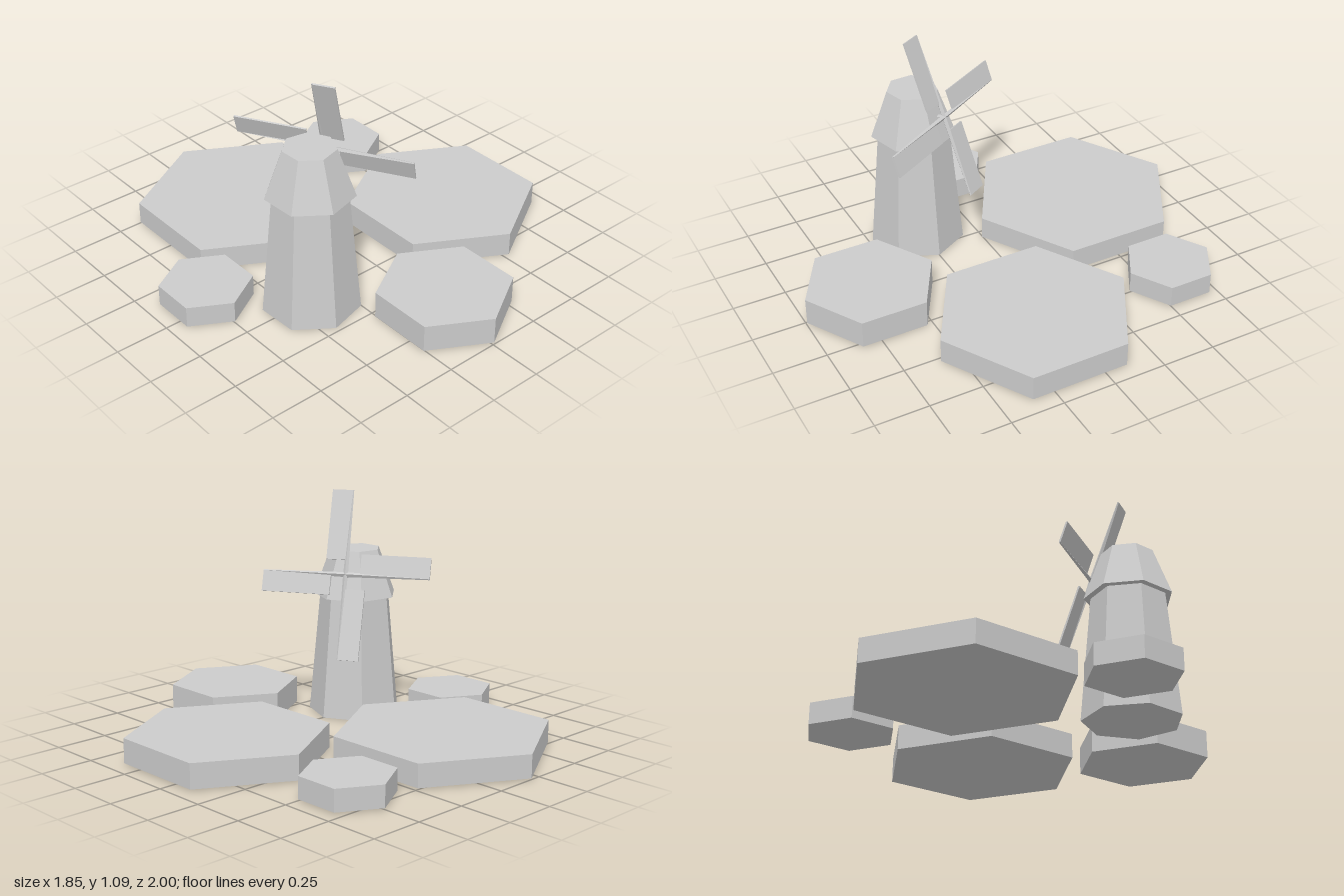
import * as THREE from 'three';

const material = new THREE.MeshStandardMaterial({ color: 0xcccccc, flatShading: true });

function add(parent, name, geometry, x = 0, y = 0, z = 0) {
  const mesh = new THREE.Mesh(geometry, material);
  mesh.name = name;
  mesh.position.set(x, y, z);
  parent.add(mesh);
  return mesh;
}

export function createModel() {
  const model = new THREE.Group();
  model.name = 'windmillAndFields';

  // Hexagonal ground tiles: x, z, radius, height
  const tiles = [
    [-0.2, -0.497, 0.503, 0.113],
    [0.525, 0.125, 0.461, 0.12],
    [0.497, -0.603, 0.21, 0.105],
    [-0.747, -0.049, 0.21, 0.105],
    [0.01, 0.686, 0.31, 0.133],
  ];
  for (const [x, z, r, h] of tiles) {
    add(model, 'hexTile', new THREE.CylinderGeometry(r, r, h - 0.005, 6), x, (h + 0.005) / 2, z);
  }

  // Seven-sided tower with an overhanging cap
  const mill = new THREE.Group();
  mill.name = 'mill';
  mill.position.set(-0.397, 0, 0.258);
  mill.rotation.y = THREE.MathUtils.degToRad(-10.4);
  add(mill, 'tower', new THREE.CylinderGeometry(0.171, 0.224, 0.58, 7), 0, 0.29, 0);
  add(mill, 'cap', new THREE.CylinderGeometry(0.12, 0.202, 0.224, 7), 0, 0.692, 0);
  model.add(mill);

  // Sail wheel, turned to the side and leaning back
  const sails = new THREE.Group();
  sails.name = 'sails';
  sails.position.set(-0.245, 0.705, 0.172);
  sails.rotation.set(THREE.MathUtils.degToRad(-20), THREE.MathUtils.degToRad(120), 0, 'YXZ');
  model.add(sails);

  const axle = add(sails, 'axle', new THREE.CylinderGeometry(0.012, 0.012, 0.08, 6), 0, 0, -0.035);
  axle.rotation.x = Math.PI / 2;

  // Four arms, each a tapered spar with a board along one side
  const length = 0.405, root = 0.07, width = 0.1;
  for (let i = 0; i < 4; i++) {
    const arm = new THREE.Group();
    arm.name = 'sailArm';
    arm.rotation.z = (i * Math.PI) / 2;
    add(arm, 'spar', new THREE.CylinderGeometry(0.004, 0.012, length, 4), 0, length / 2, 0);
    add(arm, 'sailBoard', new THREE.BoxGeometry(width, length - root, 0.008),
      -width / 2, (length + root) / 2, 0);
    sails.add(arm);
  }

  return model;
}
